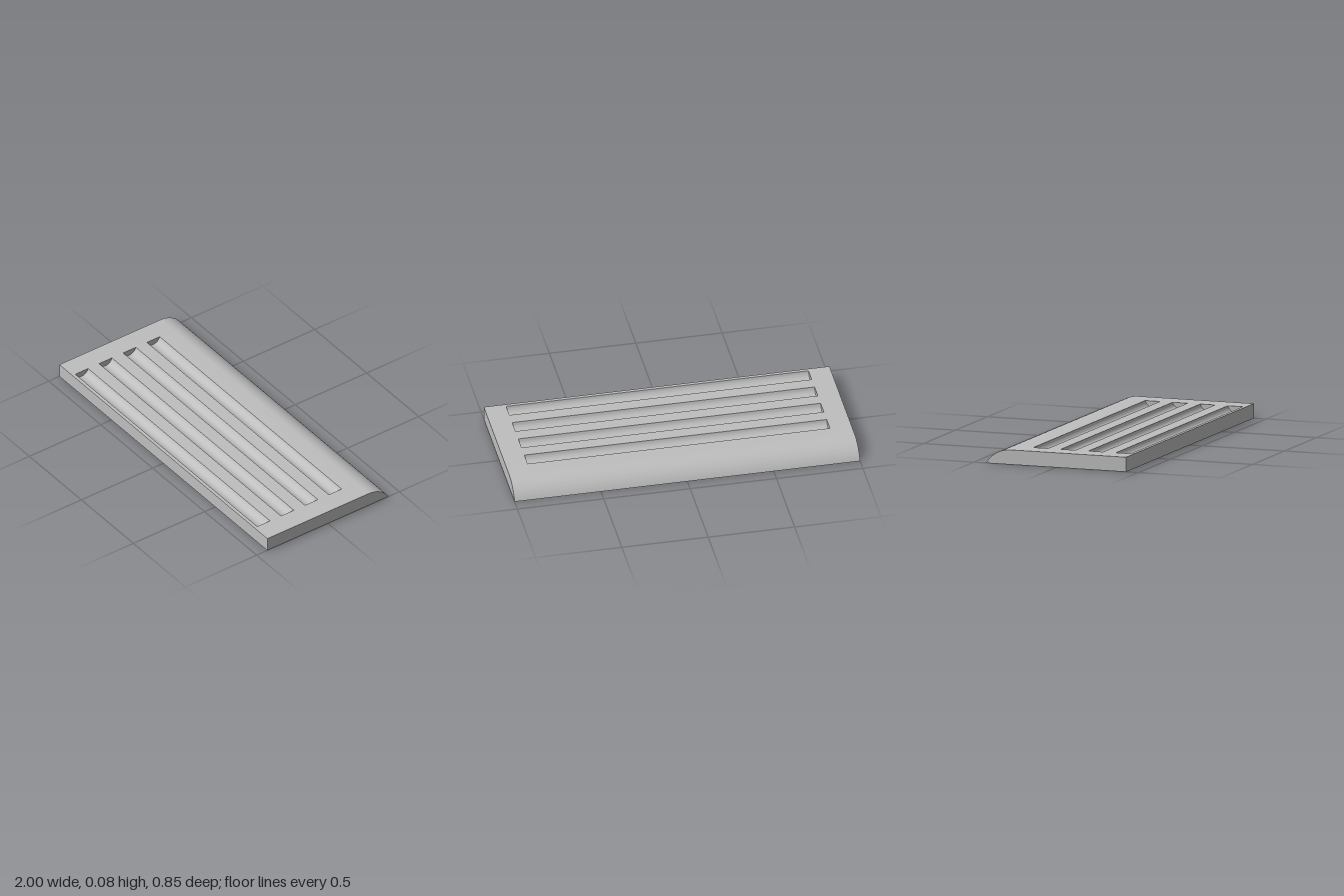
import * as THREE from 'three';
import { toCreasedNormals } from 'three/addons/utils/BufferGeometryUtils.js';

const HEIGHT = 0.084, FRONT = 0.425, BACK = -0.425;
const SLOT_HALF_LENGTH = 0.875, SLOT_WIDTH = 0.09, SLOT_DEPTH = 0.035;
const SLOT_CENTRES = [0.36, 0.193, 0.025, -0.142]; // z, front to back

// Side profile of the slab: shape x is -z, shape y is up
function profile(withSlots) {
  const s = new THREE.Shape();
  s.moveTo(-BACK, 0);
  s.lineTo(-FRONT, 0);
  s.lineTo(-FRONT, HEIGHT);
  if (withSlots) {
    const half = SLOT_WIDTH / 2;
    const r = (half * half + SLOT_DEPTH * SLOT_DEPTH) / (2 * SLOT_DEPTH);
    const a = Math.asin(half / r);
    for (const z of SLOT_CENTRES) {
      s.lineTo(-z - half, HEIGHT);
      s.absarc(-z, HEIGHT - SLOT_DEPTH + r, r, -Math.PI / 2 - a, -Math.PI / 2 + a, false);
    }
  }
  // rounded back edge
  const run = 0.145;
  const R = (run * run + HEIGHT * HEIGHT) / (2 * HEIGHT);
  s.lineTo(-BACK - run, HEIGHT);
  s.absarc(-BACK - run, HEIGHT - R, R, Math.PI / 2, Math.PI / 2 - Math.asin(run / R), true);
  return s;
}

// Extrude a profile along x between x0 and x1
function slab(name, shape, x0, x1, material) {
  let g = new THREE.ExtrudeGeometry(shape, { depth: x1 - x0, bevelEnabled: false, curveSegments: 20 });
  g.rotateY(Math.PI / 2);
  g.translate(x0, 0, 0);
  g = toCreasedNormals(g, Math.PI / 6);
  const mesh = new THREE.Mesh(g, material);
  mesh.name = name;
  return mesh;
}

export function createModel() {
  const group = new THREE.Group();
  group.name = 'groovedPlate';
  const grey = new THREE.MeshStandardMaterial({ color: 0xbfbfbf });
  grey.name = 'plain grey';

  // grooved middle, closed by a solid strip at each end
  group.add(
    slab('groovedMiddle', profile(true), -SLOT_HALF_LENGTH, SLOT_HALF_LENGTH, grey),
    slab('rightEnd', profile(false), -1, -SLOT_HALF_LENGTH, grey),
    slab('leftEnd', profile(false), SLOT_HALF_LENGTH, 1, grey)
  );
  return group;
}
